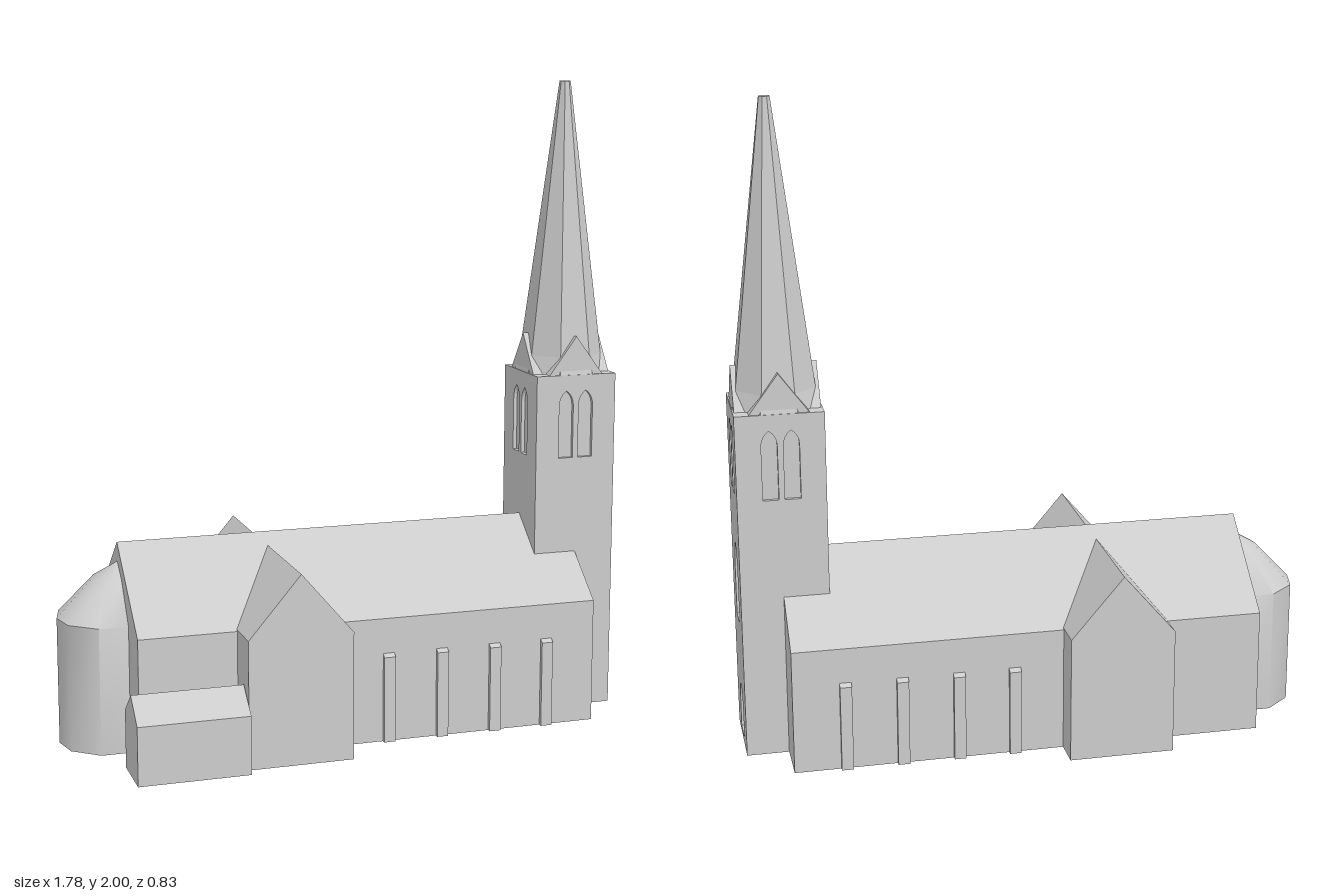
import * as THREE from 'three';
import { mergeVertices, toCreasedNormals } from 'three/addons/utils/BufferGeometryUtils.js';

const stone = new THREE.MeshStandardMaterial({ color: 0xcccccc });
stone.name = 'pale grey stone';

const AXIS = -0.0355; // z of the nave centre line
const TOWER = { x: 0.755, z: -0.0375, half: 0.134, top: 1.085, wall: 0.012 };

function add(parent, name, geometry, x = 0, y = 0, z = 0) {
  const mesh = new THREE.Mesh(geometry, stone);
  mesh.name = name;
  mesh.position.set(x, y, z);
  parent.add(mesh);
  return mesh;
}

function polygon(points) {
  return new THREE.Shape(points.map(([x, y]) => new THREE.Vector2(x, y)));
}

function extrude(shape, depth) {
  return new THREE.ExtrudeGeometry(shape, { depth, bevelEnabled: false, curveSegments: 4 });
}

// House-shaped prism running along +z, centred on x
function gabled(width, eave, ridge, length) {
  const w = width / 2;
  return extrude(polygon([[-w, 0], [w, 0], [w, eave], [0, ridge], [-w, eave]]), length);
}

// Pointed-arch opening
function lancet(x, y, width, height) {
  const w = width / 2, spring = y + height - width;
  const p = new THREE.Path();
  p.moveTo(x - w, y);
  p.lineTo(x + w, y);
  p.lineTo(x + w, spring);
  p.quadraticCurveTo(x + w, spring + width * 0.65, x, y + height);
  p.quadraticCurveTo(x - w, spring + width * 0.65, x - w, spring);
  p.closePath();
  return p;
}

// Rounded east end: rings of one half-polygon plan, closing to an apex against the gable
function apseGeometry() {
  const plan = [[0, -0.155], [-0.09, -0.155], [-0.17, -0.088], [-0.19, 0], [-0.17, 0.088], [-0.09, 0.155], [0, 0.155]];
  const rings = [[0, 1], [0.395, 1], [0.515, 0.4], [0.56, 0.001]]; // height, scale
  const n = plan.length, pos = [], index = [];
  for (const [y, s] of rings) for (const [x, z] of plan) pos.push(x * s, y, z * s);
  for (let r = 0; r < rings.length - 1; r++) {
    for (let i = 0; i < n - 1; i++) {
      const a = r * n + i, b = a + 1, c = a + n, d = c + 1;
      index.push(a, b, d, a, d, c);
    }
  }
  for (let i = 1; i < n - 1; i++) index.push(0, i + 1, i); // underside
  const g = new THREE.BufferGeometry();
  g.setAttribute('position', new THREE.Float32BufferAttribute(pos, 3));
  g.setIndex(index);
  return toCreasedNormals(mergeVertices(g), 0.7);
}

// Octagonal frustum with flats facing the axes; radii are to the flats
function octagon(top, bottom, height) {
  const k = 1 / Math.cos(Math.PI / 8);
  const g = new THREE.CylinderGeometry(top * k, bottom * k, height, 8);
  g.rotateY(Math.PI / 8);
  return toCreasedNormals(g, 0.3);
}

function createTower() {
  const tower = new THREE.Group();
  tower.name = 'tower';
  tower.position.set(TOWER.x, 0, TOWER.z);
  const { half, top, wall } = TOWER;
  const core = 2 * (half - wall);
  add(tower, 'towerCore', new THREE.BoxGeometry(core, top, core), 0, top / 2, 0);

  for (let i = 0; i < 4; i++) {
    const side = new THREE.Group();
    side.name = 'towerSide';
    side.rotation.y = (i * Math.PI) / 2;
    tower.add(side);
    // Wall with a pair of belfry openings
    const face = polygon([[-half, 0], [half, 0], [half, top], [-half, top]]);
    face.holes.push(lancet(-0.033, 0.82, 0.048, 0.215), lancet(0.033, 0.82, 0.048, 0.215));
    if (i === 1) { // west wall also has a window and a doorway
      face.holes.push(lancet(0, 0.4, 0.09, 0.25), lancet(0, 0.02, 0.09, 0.17));
    }
    add(side, 'towerWall', extrude(face, wall), 0, 0, half - wall);
    // Small gable above the belfry
    const gablet = polygon([[-0.09, 0], [0.09, 0], [0, 0.122]]);
    add(side, 'gablet', extrude(gablet, 0.055), 0, top, half - 0.06);
  }

  // Flared foot and tall octagonal spire
  add(tower, 'spireFoot', octagon(0.119, 0.132, 0.055), 0, top + 0.0275, 0);
  add(tower, 'spire', octagon(0.016, 0.119, 0.86), 0, 1.57, 0);
  return tower;
}

export function createModel() {
  const church = new THREE.Group();
  church.name = 'church';

  // Nave along x
  add(church, 'nave', gabled(0.571, 0.39, 0.62, 1.46), -0.7, 0, AXIS).rotation.y = Math.PI / 2;

  // Transept along z
  add(church, 'transept', gabled(0.325, 0.395, 0.585, 0.795), -0.235, 0, -0.418);

  // Low side room
  add(church, 'sideRoom', gabled(0.172, 0.18, 0.25, 0.34), -0.74, 0, 0.329).rotation.y = Math.PI / 2;

  add(church, 'apse', apseGeometry(), -0.7, 0, AXIS);

  // Shallow buttresses with sloping tops on both long walls
  const profile = polygon([[-0.02, 0], [0.0135, 0], [0.0135, 0.27], [0, 0.28], [-0.02, 0.28]]);
  for (const s of [1, -1]) {
    for (const x of [0.08, 0.253, 0.427, 0.6]) {
      const b = add(church, 'buttress', extrude(profile, 0.036), x + s * 0.018, 0, AXIS + s * 0.2855);
      b.rotation.y = (-s * Math.PI) / 2;
    }
  }

  church.add(createTower());
  return church;
}
